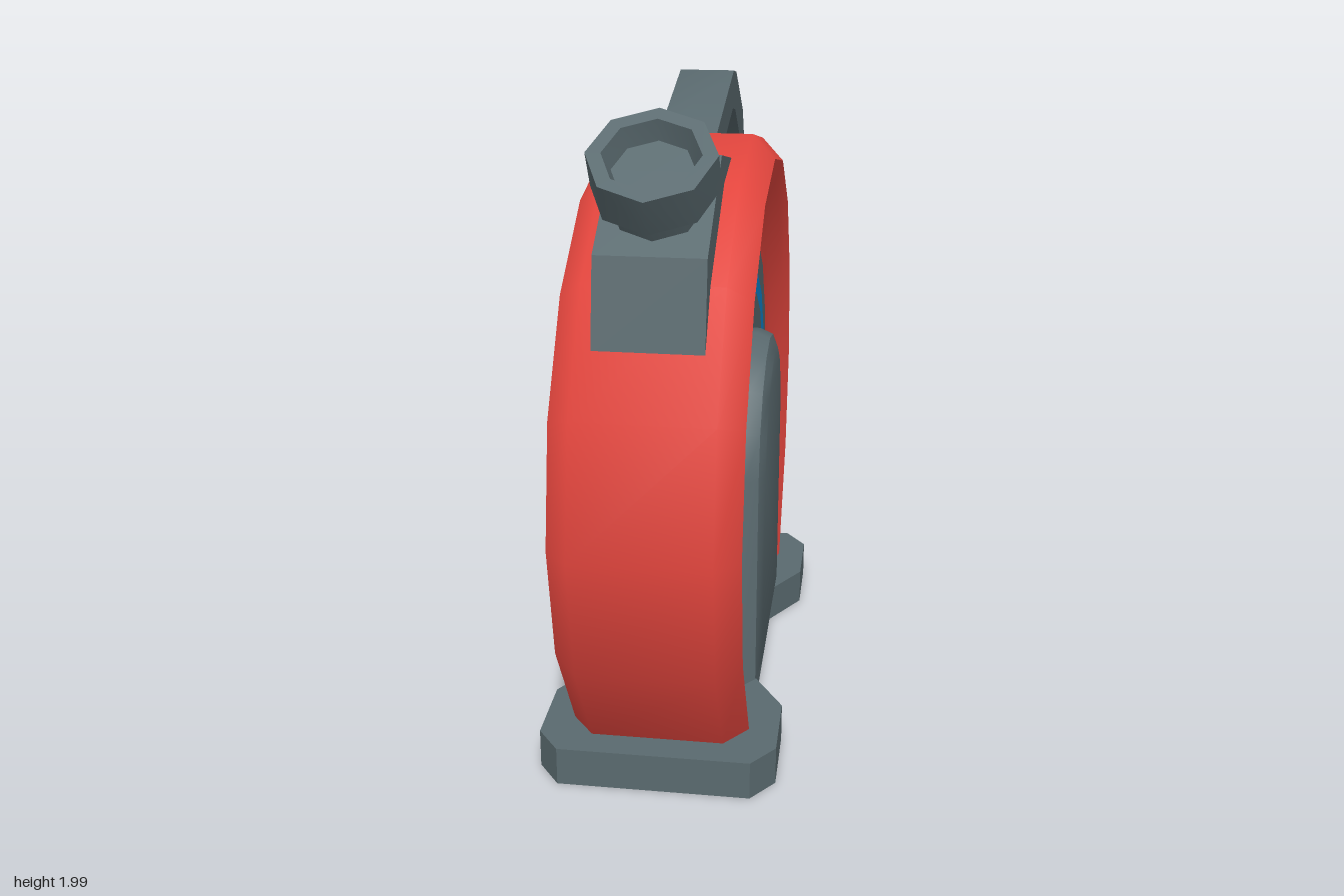
import * as THREE from 'three';
import { toCreasedNormals } from 'three/addons/utils/BufferGeometryUtils.js';

const red = new THREE.MeshStandardMaterial({ color: 0xe5463e });
red.name = 'red shell';
const grey = new THREE.MeshStandardMaterial({ color: 0x5a6a6f });
grey.name = 'slate grey';
const blue = new THREE.MeshStandardMaterial({ color: 0x0c84cf });
blue.name = 'blue stripe';

const CENTRE = 0.83, FLOOR = 0.12, STEP = Math.PI / 8;

// Position on the wheel: 16-sided arc whose two ends run straight down to the base
function wheelPoint(r, i) {
  if (i >= 0 && i <= 10) {
    const a = (i - 1) * STEP;
    return [CENTRE + r * Math.sin(a), r * Math.cos(a)];
  }
  const drop = CENTRE - r * Math.sin(STEP) - FLOOR;
  const z = r * Math.cos(STEP) - drop * 0.668;
  return [FLOOR, i < 0 ? z : -z];
}

// Sweeps a [radius, x] profile around the wheel
function sweep(profile, crease) {
  const pos = [], index = [], n = profile.length;
  for (let i = -1; i <= 11; i++) {
    for (const [r, x] of profile) pos.push(x, ...wheelPoint(r, i));
  }
  for (let i = 0; i < 12; i++) {
    for (let j = 0; j < n - 1; j++) {
      const a = i * n + j, b = a + n;
      index.push(a, b, a + 1, b, b + 1, a + 1);
    }
  }
  const geo = new THREE.BufferGeometry();
  geo.setAttribute('position', new THREE.Float32BufferAttribute(pos, 3));
  geo.setIndex(index);
  return toCreasedNormals(geo, crease);
}

const mirrored = (profile) => profile.map(([r, x]) => [r, -x]).reverse();
const shapeOf = (pts) => new THREE.Shape(pts.map(([x, y]) => new THREE.Vector2(x, y)));

// Extrudes a [z, y] outline across x, centred
function sideExtrude(pts, width, bevel = 0) {
  const depth = width - 2 * bevel;
  const geo = new THREE.ExtrudeGeometry(shapeOf(pts), {
    depth, bevelEnabled: bevel > 0, bevelSize: bevel, bevelThickness: bevel,
    bevelOffset: -bevel, bevelSegments: 2,
  });
  geo.translate(0, 0, -depth / 2);
  geo.rotateY(-Math.PI / 2);
  return toCreasedNormals(geo, 0.6);
}

export function createModel() {
  const model = new THREE.Group();
  const add = (name, geo, mat) => {
    const mesh = new THREE.Mesh(geo, mat);
    mesh.name = name;
    model.add(mesh);
    return mesh;
  };

  // Round shell with dished sides
  const half = [[0.62, 0.185], [0.68, 0.19], [0.76, 0.205], [0.85, 0.245], [0.925, 0.27], [1, 0.2]];
  add('shell', sweep([...half, ...mirrored(half)], 0.95), red);

  // Side discs and their stripes
  const disc = [[0.36, 0.2], [0.66, 0.2], [0.665, 0.18]];
  const stripe = [[0.48, 0.204], [0.55, 0.204]];
  add('leftDisc', sweep(disc, 0.5), grey);
  add('rightDisc', sweep(mirrored(disc), 0.5), grey);
  add('leftStripe', sweep(stripe, 0.5), blue);
  add('rightStripe', sweep(mirrored(stripe), 0.5), blue);

  // Arched support column through the hub
  const arch = [[-0.37, FLOOR], [0.37, FLOOR]];
  for (let i = 0; i <= 8; i++) {
    arch.push([0.37 * Math.cos(i * STEP), CENTRE + 0.365 * Math.sin(i * STEP)]);
  }
  add('column', sideExtrude(arch, 0.565, 0.06), grey);

  // Base plate with a narrow waist
  const corner = [[0.26, 0.31], [0.36, 0.47], [0.36, 0.71], [0.29, 0.8]];
  const flip = (sx, sz) => corner.map(([x, z]) => [x * sx, z * sz]);
  const outline = [...flip(1, 1), ...flip(-1, 1).reverse(), ...flip(-1, -1), ...flip(1, -1).reverse()];
  const base = new THREE.ExtrudeGeometry(shapeOf(outline), { depth: FLOOR, bevelEnabled: false });
  base.rotateX(-Math.PI / 2);
  add('base', base, grey);

  // Carrying handle at the back
  add('handle', sideExtrude([
    [0, 1.83], [-0.05, 1.72], [-0.225, 1.773], [-0.466, 1.837], [-0.547, 1.82], [-0.713, 1.7],
    [-0.756, 1.64], [-0.79, 1.41], [-0.8, 1.2], [-0.92, 1.21], [-0.863, 1.69], [-0.815, 1.78],
    [-0.57, 1.945], [-0.485, 1.96],
  ], 0.18), grey);

  // Spout mount on the front of the shell
  add('spoutMount', sideExtrude([
    [0.815, 1.37], [0.77, 1.63], [0.45, 1.845], [0.19, 1.79], [0.25, 1.6], [0.65, 1.3],
  ], 0.31), grey);

  // Spout: neck, collar and hollow mouth
  const profile = [
    [0.13, -0.15], [0.13, 0], [0.178, 0], [0.178, 0.12], [0.135, 0.12], [0.115, 0.06], [0, 0.06],
  ].map(([r, y]) => new THREE.Vector2(r, y));
  const spout = add('spout', toCreasedNormals(new THREE.LatheGeometry(profile, 8), 0.9), grey);
  spout.position.set(0, 1.793, 0.655);
  spout.rotation.x = 0.58;

  return model;
}
